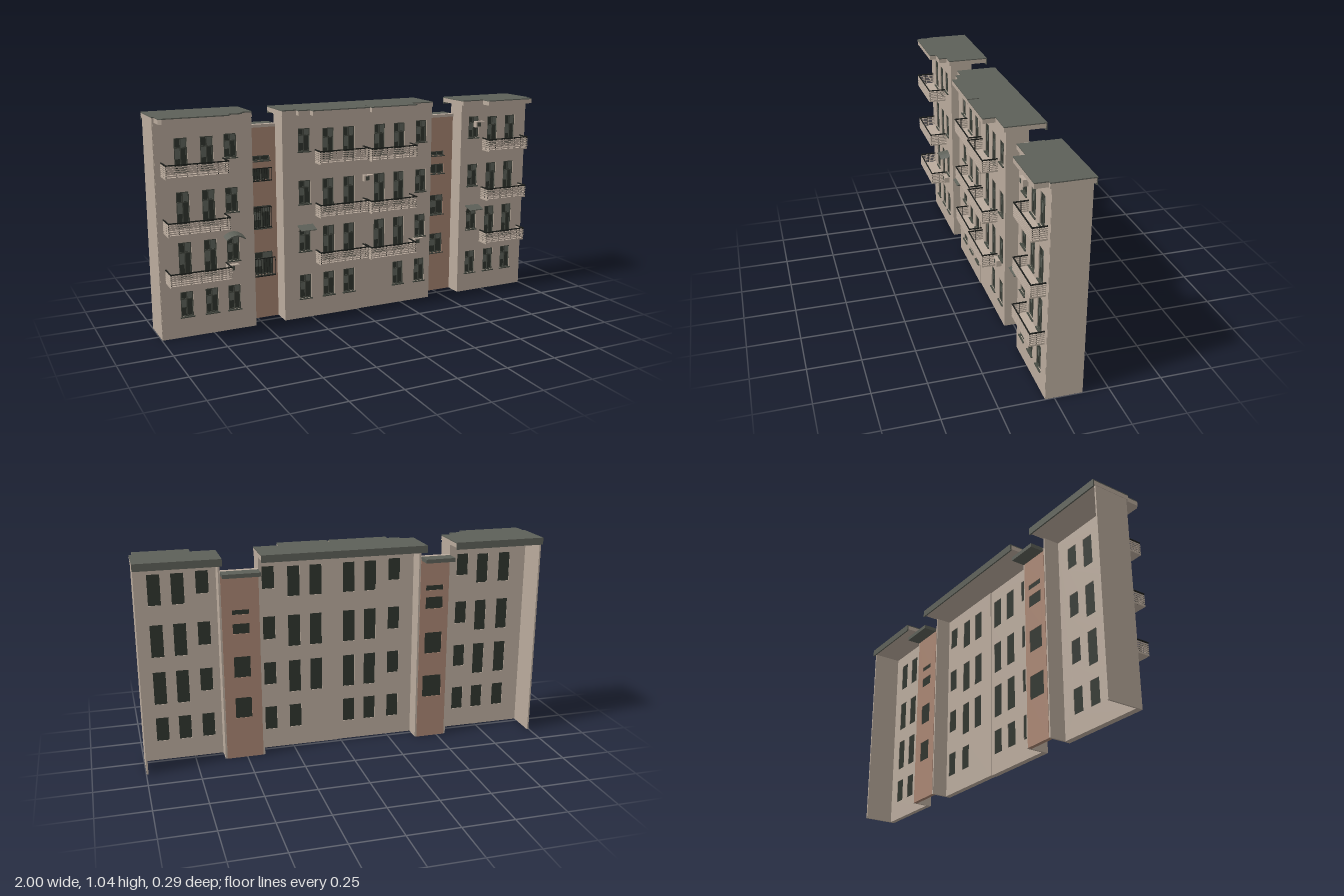
import * as THREE from 'three';

const mat = (name, color) => Object.assign(new THREE.MeshStandardMaterial({ color }), { name });

export function createModel() {
  const root = new THREE.Group();
  root.name = 'apartmentBuilding';
  const M = {
    wall: mat('beige plaster', 0xbaab9d),
    brick: mat('terracotta plaster', 0xa98673),
    roof: mat('grey roofing', 0x5d6058),
    glass: mat('dark glass', 0x30352e),
    pane: mat('light pane', 0x5f645c),
    frame: mat('window frame', 0x464a42),
    iron: mat('black iron', 0x1d1f1c),
  };

  // box given by its min and max corners
  function box(name, m, x0, x1, y0, y1, z0, z1, parent = root) {
    const mesh = new THREE.Mesh(new THREE.BoxGeometry(x1 - x0, y1 - y0, z1 - z0), M[m]);
    mesh.position.set((x0 + x1) / 2, (y0 + y1) / 2, (z0 + z1) / 2);
    mesh.name = name;
    parent.add(mesh);
    return mesh;
  }

  // upright wall with rectangular openings [x centre, width, y0, y1]
  function wall(name, m, x0, x1, h, z0, z1, openings) {
    const s = new THREE.Shape();
    s.moveTo(x0, 0).lineTo(x1, 0).lineTo(x1, h).lineTo(x0, h).closePath();
    for (const [x, w, y0, y1] of openings) {
      const p = new THREE.Path();
      p.moveTo(x - w / 2, y0).lineTo(x - w / 2, y1).lineTo(x + w / 2, y1).lineTo(x + w / 2, y0).closePath();
      s.holes.push(p);
    }
    const mesh = new THREE.Mesh(new THREE.ExtrudeGeometry(s, { depth: z1 - z0, bevelEnabled: false }), M[m]);
    mesh.position.z = z0;
    mesh.name = name;
    root.add(mesh);
    for (const o of openings) windowUnit(o, z0, z1);
  }

  // glazing, frame bars, lighter panes and sill
  function windowUnit([x, w, y0, y1], z0, z1) {
    const g = new THREE.Group();
    g.name = 'window';
    root.add(g);
    const l = x - w / 2, r = x + w / 2, h = y1 - y0, t = 0.005, zf = z1 - 0.004;
    box('glass', 'glass', l, r, y0, y1, z0 + 0.003, z1 - 0.008, g);
    for (const bx of [l, x - t / 2, r - t]) box('frameUpright', 'frame', bx, bx + t, y0, y1, z1 - 0.009, zf, g);
    for (const by of [y0, y1 - t]) box('frameRail', 'frame', l, r, by, by + t, z1 - 0.009, zf, g);
    if (h > 0.08) {
      box('transom', 'frame', l, r, y0 + h * 0.68, y0 + h * 0.68 + t, z1 - 0.009, zf, g);
      box('upperPane', 'pane', x + t / 2, r - t, y0 + h * 0.72, y1 - t, z1 - 0.009, z1 - 0.007, g);
      box('lowerPane', 'pane', l + t, x - t / 2, y0 + h * 0.36, y0 + h * 0.68, z1 - 0.009, z1 - 0.007, g);
    }
    box('sill', 'frame', l - 0.005, r + 0.005, y0 - 0.005, y0, z1 - 0.006, z1 + 0.007, g);
  }

  // roof slab from its front outline, points [x, z] running left to right
  function roof(x0, x1, y, front) {
    const s = new THREE.Shape();
    s.moveTo(x0, 0.14);
    for (const [x, z] of front) s.lineTo(x, -z);
    s.lineTo(x1, 0.14).closePath();
    [['soffit', 'wall', y - 0.026, 0.021], ['roofing', 'roof', y - 0.005, 0.005]].forEach(([n, m, base, depth]) => {
      const mesh = new THREE.Mesh(new THREE.ExtrudeGeometry(s, { depth, bevelEnabled: false }), M[m]);
      mesh.rotation.x = -Math.PI / 2;
      mesh.position.y = base;
      mesh.name = n;
      root.add(mesh);
    });
    box('rearGutter', 'roof', x0, x1, y - 0.035, y, -0.145, -0.138);
  }

  // balcony with slab, ribbed rails, posts and a dark handrail
  function balcony(x0, x1, y, zb, zf) {
    const g = new THREE.Group();
    g.name = 'balcony';
    root.add(g);
    box('slab', 'wall', x0, x1, y, y + 0.009, zb, zf, g);
    const ring = (n, m, yy, h, t) => {
      box(n, m, x0, x1, yy, yy + h, zf - t, zf, g);
      box(n, m, x0, x0 + t, yy, yy + h, zb, zf - t, g);
      box(n, m, x1 - t, x1, yy, yy + h, zb, zf - t, g);
    };
    for (let i = 0; i < 5; i++) ring('slat', 'wall', y + 0.013 + i * 0.0095, 0.006, 0.003);
    ring('handrail', 'iron', y + 0.061, 0.005, 0.005);
    const n = 6;
    for (let i = 0; i <= n; i++) {
      const px = x0 + 0.002 + (x1 - x0 - 0.007) * i / n;
      box('post', 'iron', px, px + 0.003, y, y + 0.062, zf - 0.006, zf - 0.003, g);
    }
    for (const px of [x0 + 0.002, x1 - 0.005]) box('sidePost', 'iron', px, px + 0.003, y, y + 0.062, (zb + zf) / 2, (zb + zf) / 2 + 0.003, g);
  }

  // window columns: doors open onto balconies, plain ones stand alone
  const ground = [0.1, 0.22], plain = [[0.34, 0.455], [0.575, 0.69], [0.83, 0.94]];
  const doors = [[0.29, 0.455], [0.53, 0.69], [0.785, 0.935]];
  const column = (x, rows, withGround = true) =>
    [...(withGround ? [ground] : []), ...rows].map(([a, b]) => [x, 0.06, a, b]);

  // three facade blocks
  wall('leftFacade', 'wall', -0.995, -0.54, 1.01, 0.022, 0.052,
    [...column(-0.875, doors), ...column(-0.755, doors), ...column(-0.645, plain)]);
  wall('centreFacadeA', 'wall', -0.39, 0.01, 1.005, 0.022, 0.05,
    [...column(-0.28, plain), ...column(-0.155, doors), ...column(-0.045, doors)]);
  wall('centreFacadeB', 'wall', 0.01, 0.42, 1.005, 0.018, 0.046,
    [...column(0.125, doors, false), ...column(0.235, doors), ...column(0.36, plain)]);
  wall('rightFacade', 'wall', 0.6, 0.995, 1.0, 0.018, 0.042,
    [...column(0.675, plain), ...column(0.79, doors), ...column(0.9, doors)]);

  // end walls and returns beside the stair towers
  box('leftEndWall', 'wall', -0.998, -0.99, 0, 1.01, -0.13, 0.05);
  box('rightEndWall', 'wall', 0.99, 0.998, 0, 1.0, -0.13, 0.041);
  for (const [x, h] of [[-0.549, 1.01], [-0.39, 1.005], [0.411, 1.005], [0.6, 1.0]])
    box('returnWall', 'wall', x, x + 0.009, 0, h, -0.06, 0.03);

  // stair towers
  wall('leftTower', 'brick', -0.54, -0.39, 0.945, -0.062, -0.042,
    [[-0.465, 0.09, 0.785, 0.81], [-0.465, 0.09, 0.69, 0.75], [-0.465, 0.09, 0.455, 0.565], [-0.465, 0.1, 0.22, 0.335]]);
  wall('rightTower', 'brick', 0.42, 0.6, 0.935, -0.062, -0.042,
    [[0.51, 0.08, 0.735, 0.758], [0.51, 0.08, 0.64, 0.69], [0.51, 0.08, 0.42, 0.525], [0.51, 0.08, 0.21, 0.315]]);
  for (const [x0, x1, y] of [[-0.54, -0.39, 0.945], [0.42, 0.6, 0.935]]) {
    box('towerCornice', 'wall', x0, x1, y, y + 0.014, -0.065, -0.038);
    box('towerRoof', 'roof', x0, x1, y - 0.005, y + 0.014, -0.135, -0.065);
  }

  // iron grilles on the left tower
  for (const [y0, y1, w] of [[0.215, 0.305, 0.12], [0.46, 0.56, 0.09], [0.69, 0.75, 0.1]]) {
    for (let i = 0; i <= 8; i++) {
      const x = -0.465 - w / 2 + w * i / 8;
      box('grilleBar', 'iron', x - 0.001, x + 0.001, y0, y1, -0.031, -0.029);
    }
    for (const y of [y0, y1]) {
      box('grilleRail', 'iron', -0.465 - w / 2, -0.465 + w / 2, y - 0.002, y + 0.002, -0.032, -0.028);
      for (const s of [-1, 1]) box('grilleBracket', 'iron', -0.466 + s * w / 2, -0.464 + s * w / 2, y - 0.001, y + 0.001, -0.042, -0.03);
    }
  }

  // roofs, stepped forward above the balconies
  roof(-1, -0.54, 1.036, [[-1, 0.06], [-0.99, 0.06], [-0.99, 0.125], [-0.975, 0.135], [-0.67, 0.135], [-0.67, 0.1], [-0.6, 0.1], [-0.6, 0.06], [-0.54, 0.06]]);
  roof(-0.39, 0.42, 1.031, [[-0.39, 0.055], [-0.32, 0.055], [-0.32, 0.082], [-0.26, 0.082], [-0.26, 0.115], [0.035, 0.115],
    [0.035, 0.06], [0.045, 0.06], [0.045, 0.117], [0.295, 0.117], [0.295, 0.055], [0.42, 0.055]]);
  roof(0.6, 1, 1.026, [[0.6, 0.055], [0.72, 0.055], [0.72, 0.11], [0.985, 0.11], [0.985, 0.05], [1, 0.05]]);

  // balconies on three floors
  for (const y of [0.272, 0.507, 0.767]) {
    balcony(-0.97, -0.68, y, 0.05, 0.142);
    balcony(-0.225, 0.035, y + 0.003, 0.048, 0.115);
    balcony(0.045, 0.3, y - 0.002, 0.044, 0.122);
    balcony(0.73, 0.97, y - 0.007, 0.04, 0.11);
  }

  // air conditioners
  for (const [x, y, z] of [[0.7, 0.9, 0.042], [0.055, 0.675, 0.046], [0.345, 0.32, 0.046], [-0.65, 0.31, 0.052]]) {
    box('airConditioner', 'wall', x - 0.025, x + 0.025, y - 0.015, y + 0.015, z, z + 0.025);
    box('fanGrille', 'frame', x - 0.018, x + 0.002, y - 0.01, y + 0.01, z + 0.025, z + 0.026);
  }

  // sloping canopies
  for (const [x, z] of [[-0.28, 0.05], [0.675, 0.042]]) {
    box('canopy', 'roof', x - 0.04, x + 0.04, 0.461, 0.465, z, z + 0.055).rotation.x = 0.3;
    for (const s of [-0.034, 0.034])
      box('canopyBracket', 'iron', x + s - 0.001, x + s + 0.001, 0.445, 0.448, z, z + 0.045).rotation.x = -0.3;
  }
  // arched canopy
  const arch = new THREE.Shape();
  arch.moveTo(-0.047, 0).quadraticCurveTo(0, 0.04, 0.047, 0).lineTo(0.042, -0.003).quadraticCurveTo(0, 0.03, -0.042, -0.003).closePath();
  const hood = new THREE.Mesh(new THREE.ExtrudeGeometry(arch, { depth: 0.055, bevelEnabled: false, curveSegments: 8 }), M.roof);
  hood.position.set(-0.645, 0.462, 0.05);
  hood.rotation.x = 0.15;
  hood.name = 'archedCanopy';
  root.add(hood);

  return root;
}
